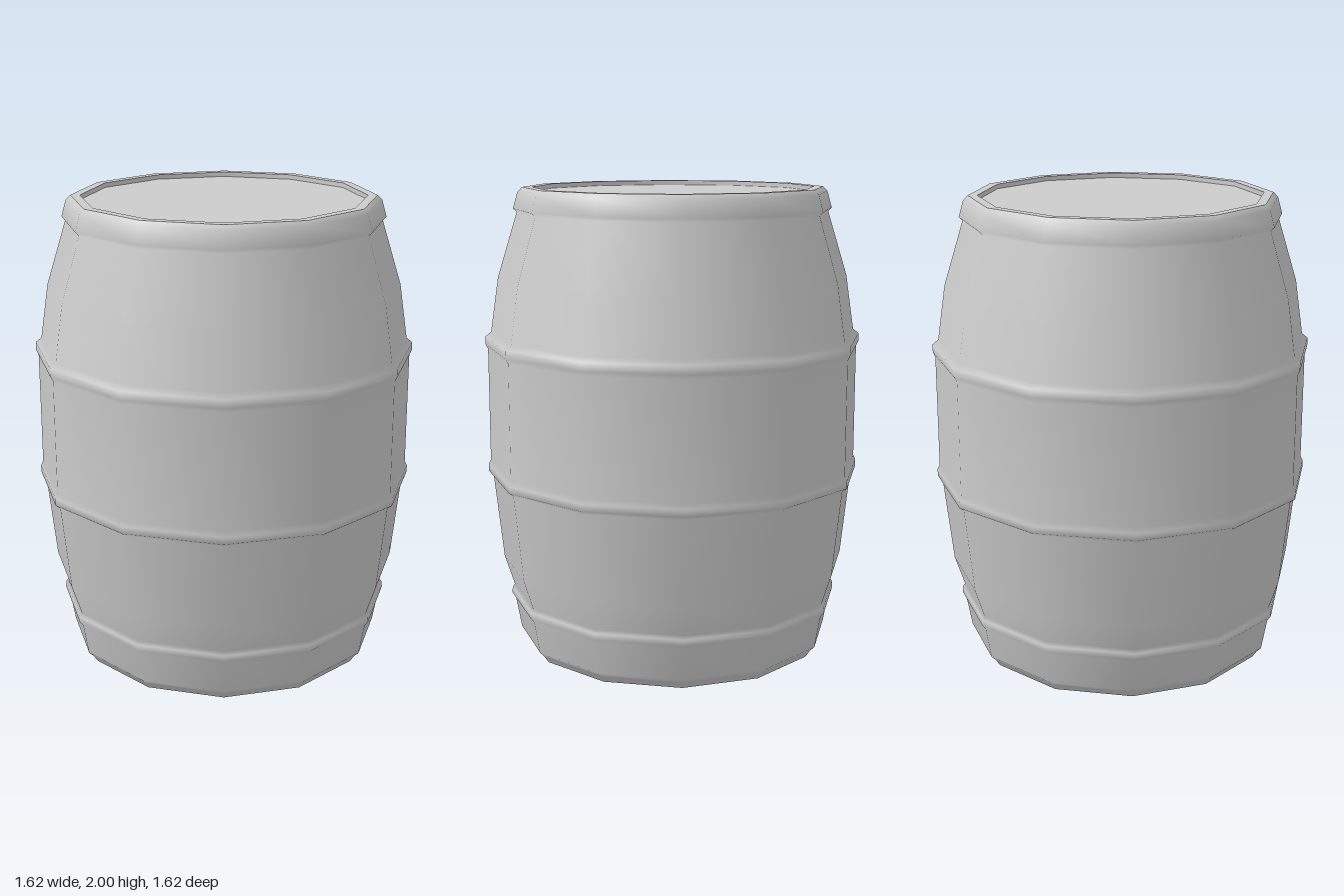
import * as THREE from 'three';
import { toCreasedNormals } from 'three/addons/utils/BufferGeometryUtils.js';

const SIDES = 12;
const material = new THREE.MeshStandardMaterial({ color: 0xcccccc });

// Turn a list of [radius, height] points around the y axis
function turned(points) {
  return new THREE.LatheGeometry(points.map(([r, y]) => new THREE.Vector2(r, y)), SIDES);
}

function addPart(group, name, geometry) {
  const mesh = new THREE.Mesh(geometry, material);
  mesh.name = name;
  group.add(mesh);
}

export function createModel() {
  const barrel = new THREE.Group();
  barrel.name = 'barrel';

  // Bulging wall, with the raised hoops as part of one smooth profile
  addPart(barrel, 'bodyWithHoops', turned([
    [0.64, 0], [0.66, 0.03], [0.68, 0.05],
    [0.705, 0.19], [0.72, 0.21], [0.718, 0.235], [0.708, 0.25], // bottom hoop
    [0.75, 0.38],
    [0.79, 0.755], [0.81, 0.77], [0.81, 0.8], [0.8, 0.82],      // lower middle hoop
    [0.8, 1.31], [0.81, 1.33], [0.81, 1.365], [0.785, 1.385],   // upper middle hoop
    [0.75, 1.62],
    [0.665, 1.895], [0.68, 1.91], [0.66, 1.98], [0.64, 2],      // top hoop
  ]));

  // Flat rims stepping in to the slightly sunken barrel heads
  addPart(barrel, 'topHead', toCreasedNormals(
    turned([[0.64, 2], [0.6, 2], [0.6, 1.98], [0, 1.98]]), 0.7));
  addPart(barrel, 'bottomHead', toCreasedNormals(
    turned([[0, 0.02], [0.6, 0.02], [0.6, 0], [0.64, 0]]), 0.7));

  return barrel;
}
